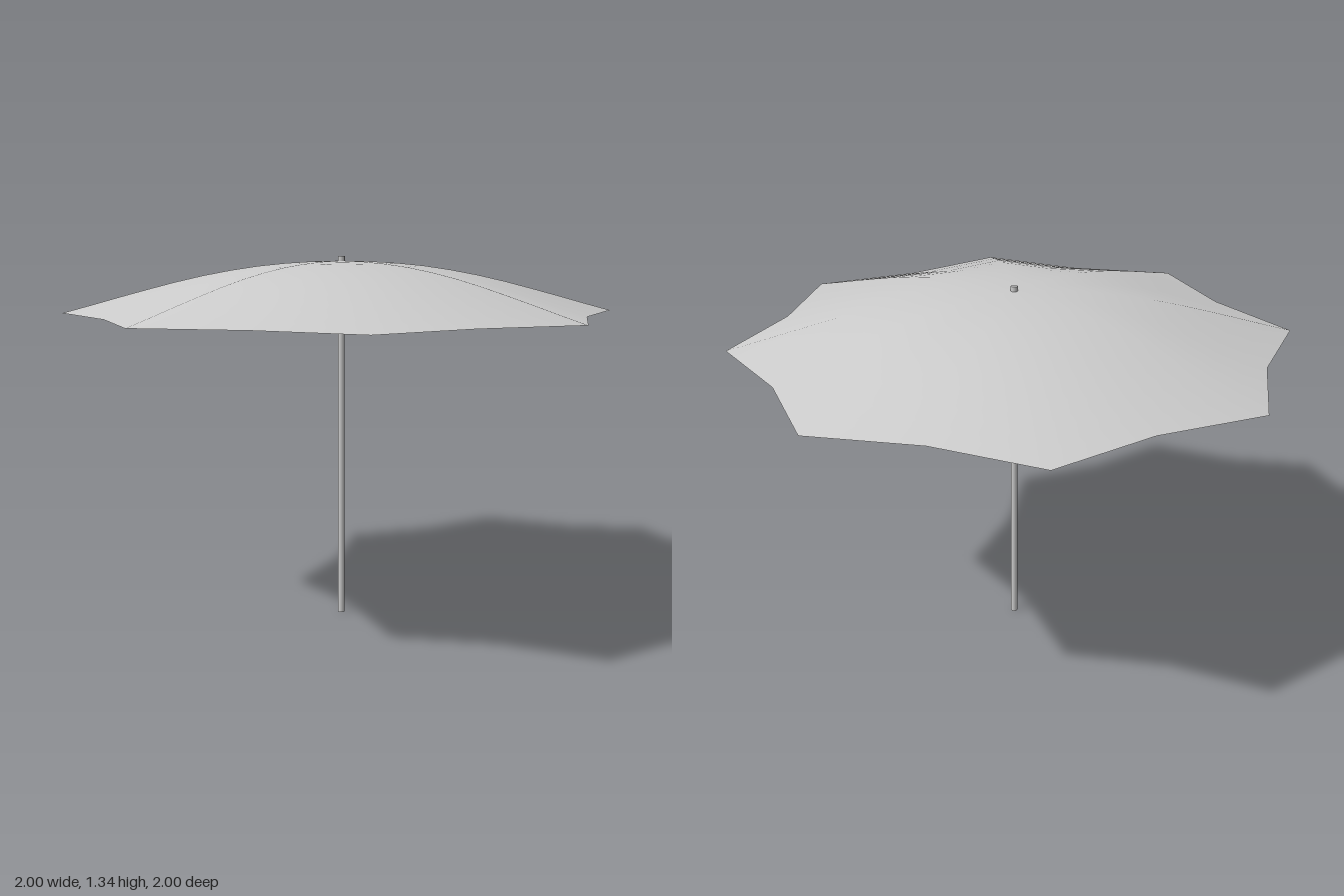
import * as THREE from 'three';

export function createModel() {
  const fabric = new THREE.MeshStandardMaterial({ color: 0xcccccc, side: THREE.DoubleSide });
  fabric.name = 'light grey fabric';
  const group = new THREE.Group();
  group.name = 'parasol';

  // Canopy: a shallow dome with eight ribs, drawn in between them
  const ribs = 8, valley = 0.88;
  const profile = [
    [1, 1.137], [0.9, 1.164], [0.8, 1.192], [0.7, 1.219], [0.6, 1.245], [0.5, 1.268],
    [0.4, 1.287], [0.3, 1.302], [0.2, 1.312], [0.1, 1.318], [0, 1.32],
  ].map(([r, y]) => new THREE.Vector2(r, y));
  const dome = new THREE.LatheGeometry(profile, ribs * 2);
  const pos = dome.attributes.position;
  for (let i = 0; i < pos.count; i++) {
    const column = Math.floor(i / profile.length);
    if (column % 2) {
      pos.setX(i, pos.getX(i) * valley);
      pos.setZ(i, pos.getZ(i) * valley);
    }
  }
  const canopy = new THREE.Mesh(dome, fabric);
  canopy.name = 'canopy';
  group.add(canopy);

  // Pole: runs through the canopy and shows as a small tip on top
  const height = 1.337;
  const pole = new THREE.Mesh(new THREE.CylinderGeometry(0.0125, 0.0125, height, 12), fabric);
  pole.name = 'pole';
  pole.position.y = height / 2;
  group.add(pole);

  return group;
}
